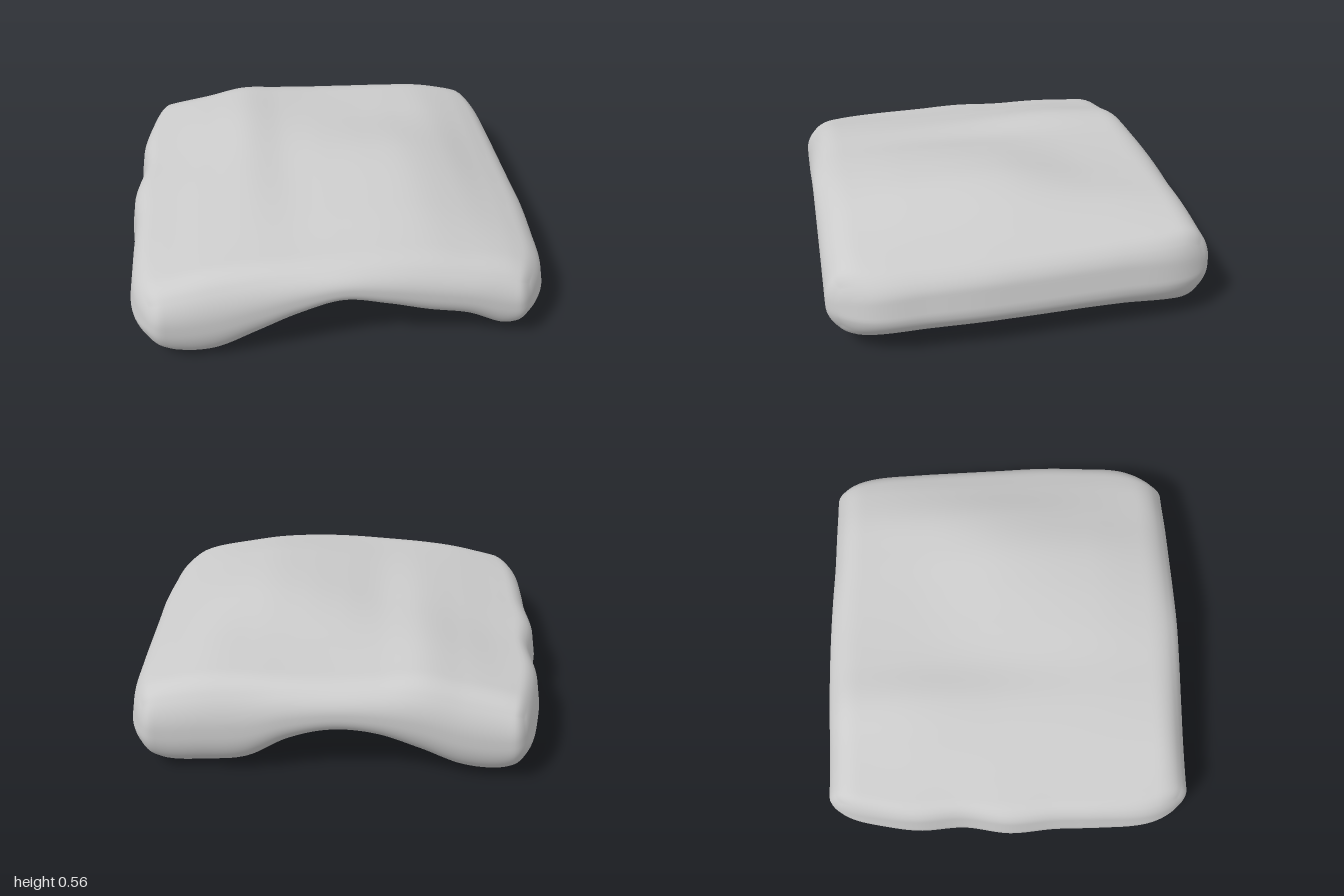
import * as THREE from 'three';
import { mergeVertices } from 'three/addons/utils/BufferGeometryUtils.js';

// Height profiles across x = -1..1 (step 0.2), at z = -0.9, -0.45, 0, 0.45, 0.9
const TOP = [
  [.40, .43, .46, .50, .49, .48, .48, .48, .47, .44, .40],
  [.40, .43, .48, .525, .505, .50, .50, .505, .50, .45, .39],
  [.40, .43, .47, .505, .50, .53, .555, .56, .52, .445, .38],
  [.39, .42, .46, .49, .50, .525, .54, .535, .49, .43, .37],
  [.37, .41, .45, .47, .48, .485, .485, .47, .44, .41, .36],
];
const BOTTOM = [
  [.09, .03, .04, .12, .20, .22, .16, .04, .02, .02, .09],
  [.10, .06, .09, .20, .28, .30, .25, .13, .06, .06, .12],
  [.10, .06, .09, .21, .29, .32, .28, .20, .14, .07, .12],
  [.10, .03, .04, .17, .27, .31, .27, .20, .15, .06, .12],
  [.10, .01, .00, .09, .20, .275, .23, .17, .13, .05, .09],
];
// Reach of the two side walls from back to front
const REACH_RIGHT = [.89, .94, .975, .965, 1, .985, .985, .975, .91];
const REACH_LEFT = [.90, .955, .97, .98, .99, 1, .995, .98, .89];

// Catmull-Rom lookup in an evenly spaced list
function smooth(list, u) {
  const n = list.length - 1;
  const s = THREE.MathUtils.clamp(u, 0, 1) * n;
  const i = Math.min(Math.floor(s), n - 1), t = s - i;
  const at = (k) => list[THREE.MathUtils.clamp(k, 0, n)];
  const [a, b, c, d] = [at(i - 1), at(i), at(i + 1), at(i + 2)];
  return b + 0.5 * t * (c - a + t * (2 * a - 5 * b + 4 * c - d + t * (3 * (b - c) + d - a)));
}
const height = (rows, x, z) => smooth(rows.map((r) => smooth(r, (x + 1) / 2)), (z + 0.9) / 1.8);

export function createModel() {
  const group = new THREE.Group();
  group.name = 'archedStone';

  const half = new THREE.Vector3(1, 0.18, 0.89);
  const radius = new THREE.Vector3(), inner = new THREE.Vector3(), innerMin = new THREE.Vector3();
  let geo = new THREE.BoxGeometry(2, 0.36, 1.78, 80, 20, 70);
  geo.deleteAttribute('uv');
  geo.deleteAttribute('normal');
  geo = mergeVertices(geo);

  const pos = geo.attributes.position;
  const p = new THREE.Vector3(), core = new THREE.Vector3();
  for (let i = 0; i < pos.count; i++) {
    p.fromBufferAttribute(pos, i);

    // Round off all edges; the front and back ends are almost fully round
    const end = Math.abs(p.z / half.z) ** 4;
    radius.set(0.08 + 0.05 * end, 0.1 + 0.065 * end, 0.16);
    inner.copy(half).sub(radius);
    innerMin.copy(inner).negate();
    core.copy(p).clamp(innerMin, inner);
    p.sub(core).divide(radius).normalize().multiply(radius).add(core);

    // Bend it between the lower and upper surfaces
    const t = (p.y / half.y + 1) / 2;
    const y = THREE.MathUtils.lerp(height(BOTTOM, p.x, p.z), height(TOP, p.x, p.z), t);

    // Uneven side walls that lean inwards towards the top
    const reach = smooth(p.x < 0 ? REACH_RIGHT : REACH_LEFT, (p.z + 0.9) / 1.8);
    const lean = 0.05 * Math.max(0, t - 0.35);
    const x = p.x * (1 - p.x ** 4 * (1 - reach + lean));
    pos.setXYZ(i, x, y, p.z);
  }

  // Rest on the ground
  geo.computeBoundingBox();
  geo.translate(0, -geo.boundingBox.min.y, 0);
  geo.computeVertexNormals();

  const slab = new THREE.Mesh(geo, new THREE.MeshStandardMaterial({ color: 0xcccccc }));
  slab.name = 'archedSlab';
  group.add(slab);
  return group;
}
